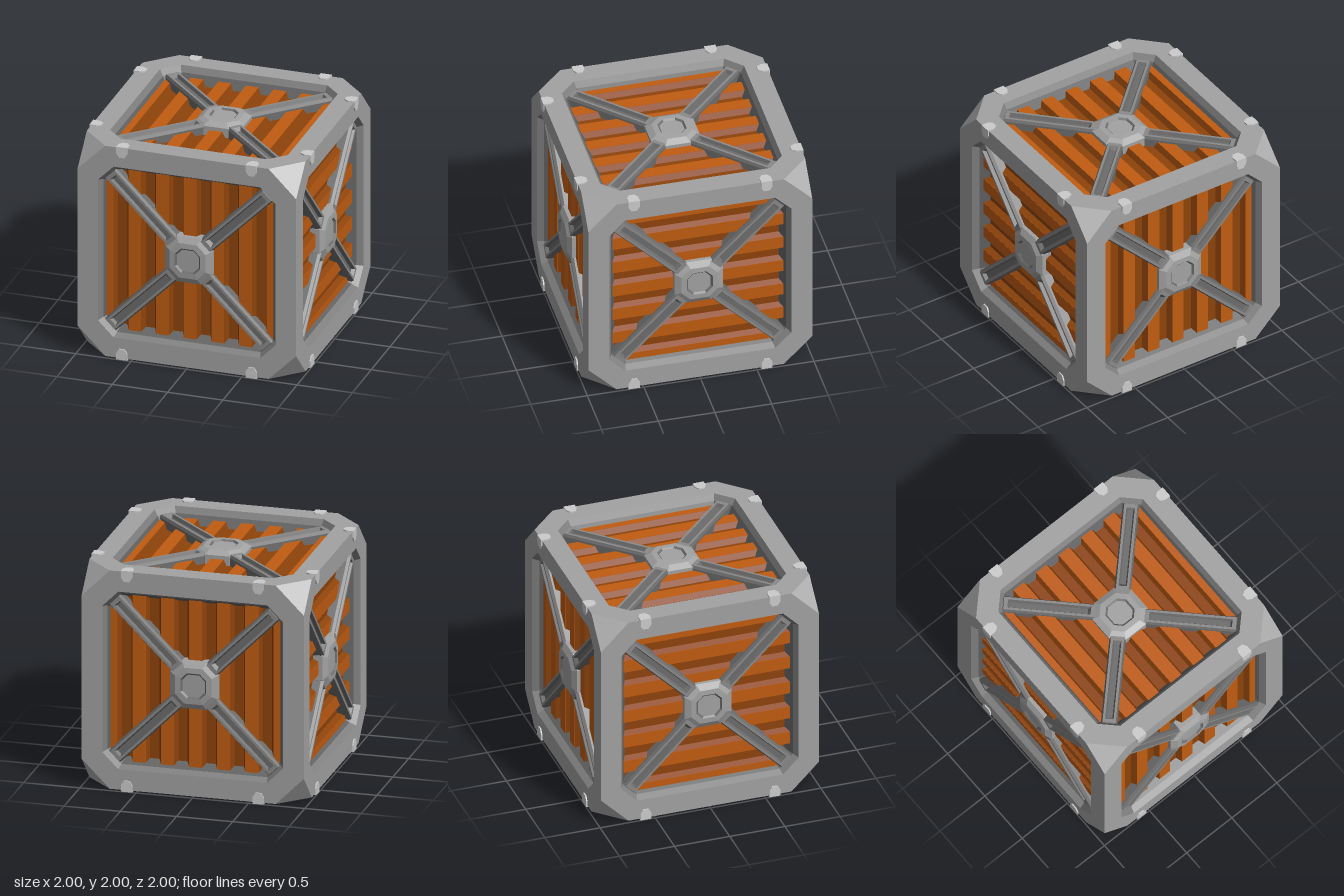
import * as THREE from 'three';

const paint = (color) => new THREE.MeshStandardMaterial({ color, flatShading: true });
const frameGrey = paint(0xa2a2a2);
const cornerGrey = paint(0xb0b0b0);
const clipGrey = paint(0xbdbdbd);
const wallGrey = paint(0x808080);
const deepGrey = paint(0x626262);
const rimGrey = paint(0x8a8a8a);
const braceGrey = paint(0x6c6c6c);
const orange = paint(0xc05c11);
const darkOrange = paint(0x8e430b);

const H = 0.988;     // half size of the frame
const CUT = 0.25;    // length cut off each cube corner
const RIDGE = 0.9;   // panel ridge and groove levels
const GROOVE = 0.85;
const E = 0.76;      // half size of the panel

function mesh(name, geometry, material) {
  const m = new THREE.Mesh(geometry, material);
  m.name = name;
  return m;
}

function fromTriangles(points) {
  const g = new THREE.BufferGeometry();
  g.setAttribute('position', new THREE.Float32BufferAttribute(points.flat(), 3));
  g.computeVertexNormals();
  return g;
}

// Skin between rings of equal point count, ordered counter-clockwise seen from +z
function loft(rings, capped = false) {
  const p = [];
  const n = rings[0].length;
  for (let r = 0; r < rings.length - 1; r++) {
    const a = rings[r], b = rings[r + 1];
    for (let i = 0; i < n; i++) {
      const j = (i + 1) % n;
      p.push(a[i], a[j], b[j], a[i], b[j], b[i]);
    }
  }
  if (capped) {
    const c = rings[rings.length - 1];
    for (let i = 1; i < n - 1; i++) p.push(c[0], c[i], c[i + 1]);
  }
  return fromTriangles(p);
}

// Square of half size h whose sides end at +-c, giving eight corners
const octagon = (h, c, z) => [
  [h, -c, z], [h, c, z], [c, h, z], [-c, h, z],
  [-h, c, z], [-h, -c, z], [-c, -h, z], [c, -h, z],
];

const rect = (x0, x1, half, z) => [[x0, -half, z], [x1, -half, z], [x1, half, z], [x0, half, z]];

// Corrugated sheet with ridges running along y
function panelGeometry() {
  const s = new THREE.Shape();
  s.moveTo(-E, GROOVE - 0.04);
  s.lineTo(E, GROOVE - 0.04);
  s.lineTo(E, RIDGE);
  for (let k = 3; k >= -3; k--) {
    const x = k * 0.25;
    if (k < 3) {
      s.lineTo(x + 0.083, GROOVE);
      s.lineTo(x + 0.058, RIDGE);
    }
    if (k > -3) {
      s.lineTo(x - 0.058, RIDGE);
      s.lineTo(x - 0.083, GROOVE);
    }
  }
  s.lineTo(-E, RIDGE);
  const g = new THREE.ExtrudeGeometry(s, { depth: 2 * E, bevelEnabled: false });
  return g.rotateX(Math.PI / 2).rotateY(Math.PI).translate(0, E, 0);
}

// Small plate that tapers away from the cube edge, at the +y edge of a face
function clipGeometry() {
  const s = new THREE.Shape([
    [-0.05, 1], [-0.05, 0.94], [-0.025, 0.9], [0.025, 0.9], [0.05, 0.94], [0.05, 1],
  ].map(([x, y]) => new THREE.Vector2(x, y)));
  return new THREE.ExtrudeGeometry(s, { depth: 0.025, bevelEnabled: false }).translate(0, 0, 0.975);
}

// Frame face and the wall sloping in to the panel
const opening = octagon(0.803, 0.662, H);
const wallMiddle = octagon(0.772, 0.648, H - 0.055);
const braceTop = rect(0.15, 1.0, 0.057, 0.945);
const braceSlot = rect(0.25, 0.965, 0.036, 0.945);
const hubEdge = octagon(0.115, 0.057, 0.972);

const sideParts = [
  ['frame', loft([octagon(H, H - CUT, H), opening]), frameGrey],
  ['openingWall', loft([opening, wallMiddle]), wallGrey],
  ['openingWallBase', loft([wallMiddle, octagon(0.715, 0.625, H - 0.155)]), deepGrey],
  ['corrugatedPanel', panelGeometry(), darkOrange],
  ['hub', loft([
    octagon(0.215, 0.11, GROOVE - 0.02),
    octagon(0.215, 0.11, 0.935),
    octagon(0.162, 0.082, 0.968),
    hubEdge,
  ]), frameGrey],
  ['hubRecess', loft([hubEdge, octagon(0.1, 0.05, 0.957)]), braceGrey],
  ['hubCentre', loft([octagon(0.1, 0.05, 0.957)], true), frameGrey],
];
const braceParts = [
  ['braceBody', loft([
    rect(0.15, 1.02, 0.073, GROOVE - 0.02),
    rect(0.15, 1.01, 0.07, 0.92),
    braceTop,
  ]), braceGrey],
  ['braceRim', loft([braceTop, braceSlot]), rimGrey],
  ['braceSlot', loft([braceSlot, rect(0.275, 0.95, 0.024, 0.915)], true), braceGrey],
];
const ridgeGeo = new THREE.BoxGeometry(0.116, 2 * E, 0.006);
const clipGeo = clipGeometry();

// One side of the crate, facing +z; clipTurns lists the edges that carry clips
function createSide(name, clipTurns) {
  const side = new THREE.Group();
  side.name = name;
  for (const part of sideParts) side.add(mesh(...part));
  for (let k = -3; k <= 3; k++) {
    const ridge = mesh('panelRidge', ridgeGeo, orange);
    ridge.position.set(k * 0.25, 0, RIDGE - 0.001);
    side.add(ridge);
  }
  for (let i = 0; i < 4; i++) {
    const brace = new THREE.Group();
    brace.name = 'diagonalBrace';
    for (const part of braceParts) brace.add(mesh(...part));
    brace.rotation.z = Math.PI / 4 + i * Math.PI / 2;
    side.add(brace);
  }
  for (const turn of clipTurns) {
    for (const x of [-0.585, 0.585]) {
      const clip = mesh('edgeClip', clipGeo.clone().translate(x, 0, 0), clipGrey);
      clip.rotation.z = turn * Math.PI / 2;
      side.add(clip);
    }
  }
  return side;
}

export function createModel() {
  const crate = new THREE.Group();
  crate.name = 'crate';

  // Ridge direction, outward direction and clipped edges of each side
  const sides = [
    ['frontSide', [0, 1, 0], [0, 0, 1], [0, 2]],
    ['backSide', [0, 1, 0], [0, 0, -1], [0, 2]],
    ['leftSide', [0, 0, 1], [1, 0, 0], [1, 3]],
    ['rightSide', [0, 0, 1], [-1, 0, 0], [1, 3]],
    ['topSide', [0, 0, 1], [0, 1, 0], [0, 1, 2, 3]],
    ['bottomSide', [0, 0, 1], [0, -1, 0], [0, 1, 2, 3]],
  ];
  for (const [name, ridge, out, clips] of sides) {
    const side = createSide(name, clips);
    const v = new THREE.Vector3(...ridge), w = new THREE.Vector3(...out);
    const u = new THREE.Vector3().crossVectors(v, w);
    side.quaternion.setFromRotationMatrix(new THREE.Matrix4().makeBasis(u, v, w));
    side.position.y = 1;
    crate.add(side);
  }

  // Triangles closing the cut corners, wound to face outward
  const c = H - CUT;
  const corners = [];
  for (const x of [-1, 1]) for (const y of [-1, 1]) for (const z of [-1, 1]) {
    const tri = [[x * c, y * H, z * H], [x * H, y * c, z * H], [x * H, y * H, z * c]];
    if (x * y * z < 0) tri.reverse();
    corners.push(...tri);
  }
  const cornerMesh = mesh('cutCorners', fromTriangles(corners), cornerGrey);
  cornerMesh.position.y = 1;
  crate.add(cornerMesh);
  return crate;
}
